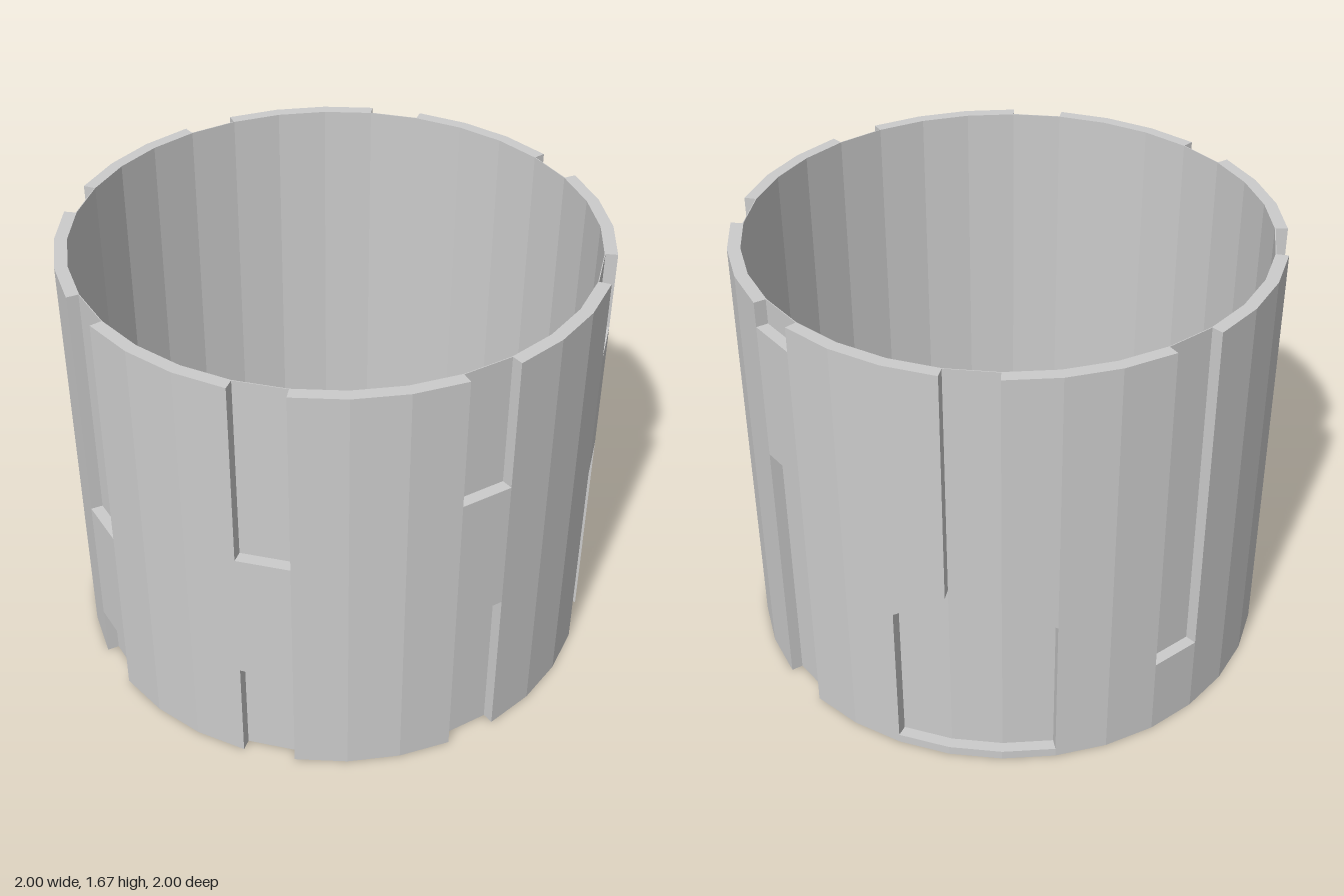
import * as THREE from 'three';

const SIDES = 32, STEP = (Math.PI * 2) / SIDES, TURN = 0.005;
const H = 1.675, INNER = 0.957, FLOOR = 0.96, OUTER = 1.004;
const material = new THREE.MeshStandardMaterial({ color: 0xcccccc, flatShading: true });

// Curved block: stations are [facet corner index, bottom y, top y]; corner 0 is the left edge of the front facet
function curvedBlock(name, stations, rIn, rOut, capped = true) {
  const loops = stations.map(([i, y0, y1]) => {
    const a = (i - 0.5) * STEP + TURN;
    return [[rIn, y0], [rOut, y0], [rOut, y1], [rIn, y1]]
      .map(([r, y]) => [r * Math.sin(a), y, r * Math.cos(a)]);
  });
  const pos = [];
  const quad = (a, b, c, d) => pos.push(...a, ...b, ...c, ...a, ...c, ...d);
  for (let s = 0; s < loops.length - 1; s++) {
    const p = loops[s], q = loops[s + 1];
    for (let k = 0; k < 4; k++) {
      const n = (k + 1) % 4;
      quad(p[k], q[k], q[n], p[n]);
    }
  }
  if (capped) {
    quad(...loops[0]);
    quad(...[...loops[loops.length - 1]].reverse());
  }
  const geometry = new THREE.BufferGeometry();
  geometry.setAttribute('position', new THREE.Float32BufferAttribute(pos, 3));
  geometry.computeVertexNormals();
  const mesh = new THREE.Mesh(geometry, material);
  mesh.name = name;
  return mesh;
}

// Stations for a block of constant height from corner i0 to corner i1
function span(i0, i1, y0, y1) {
  const list = [];
  for (let i = i0; i <= i1; i++) list.push([i, y0, y1]);
  return list;
}

export function createModel() {
  const group = new THREE.Group();
  group.name = 'slottedSleeve';
  const add = (name, stations) => group.add(curvedBlock(name, stations, FLOOR, OUTER));

  // Thin inner wall that forms the groove floors
  group.add(curvedBlock('innerWall', span(0, SIDES, 0, H), INNER, FLOOR, false));

  // Eight raised panels between the grooves; the two at the back are cut away below
  for (let g = 0; g < 8; g++) {
    const start = g * 4 + 1;
    const first = g === 4 ? start + 1 : start;
    const last = g === 3 ? start + 2 : start + 3;
    add('raisedPanel', span(first, last, 0, H));
  }

  // Sloped shoulders where the back groove widens, and the lip under it
  add('shoulder', [[15, 0.63, H], [16, 0.76, H]]);
  add('shoulder', [[17, 0.76, H], [18, 0.63, H]]);
  add('bottomLip', span(15, 18, 0, 0.035));

  // Bridges that climb step by step around the grooves
  for (let g = -3; g <= 3; g++) {
    const y0 = Math.max(0, 0.42 + g * 0.21), y1 = 0.95 + g * 0.21;
    add('grooveBridge', span(g * 4, g * 4 + 1, y0, y1));
  }
  return group;
}
